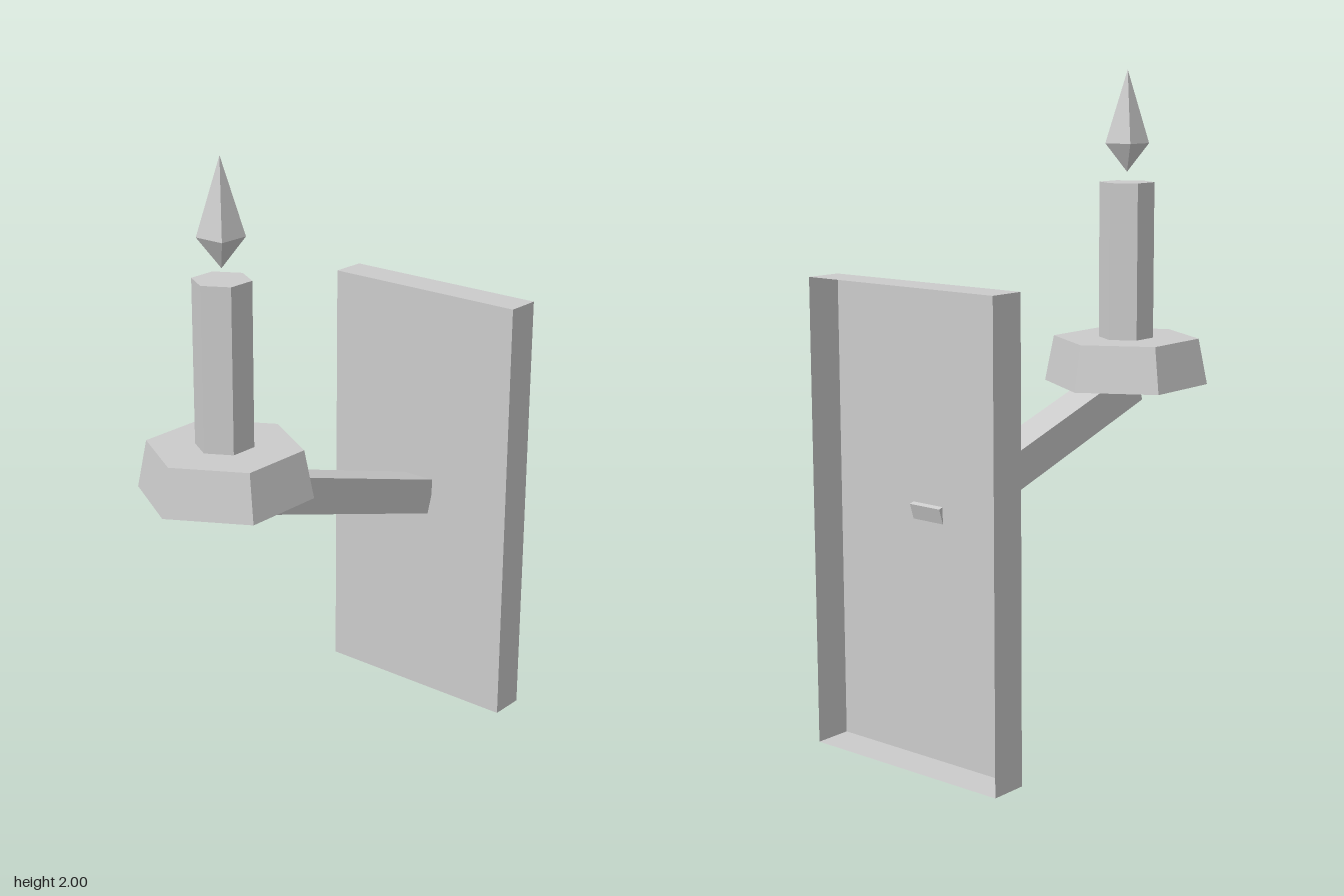
import * as THREE from 'three';

const grey = new THREE.MeshStandardMaterial({ color: 0xcccccc, flatShading: true });
const greyThin = new THREE.MeshStandardMaterial({ color: 0xcccccc, flatShading: true, side: THREE.DoubleSide });

const CANDLE_Z = 0.396;

export function createModel() {
  const model = new THREE.Group();
  model.name = 'wallCandleHolder';

  const add = (name, geometry, x, y, z, material = grey) => {
    const mesh = new THREE.Mesh(geometry, material);
    mesh.name = name;
    mesh.position.set(x, y, z);
    model.add(mesh);
    return mesh;
  };

  // Wall plate: a thin shell, open at the back (the last box side is dropped)
  const plate = new THREE.BoxGeometry(0.704, 1.412, 0.115);
  plate.setIndex(Array.from(plate.index.array).slice(0, 30));
  plate.clearGroups();
  add('wallPlate', plate, 0, 0.706, -0.6025, greyThin);

  // Sloping arm, from just behind the plate's front sheet up into the tray
  const arm = add('arm', new THREE.BoxGeometry(0.115, 0.115, 0.98), 0, 0.857, -0.075);
  arm.rotation.x = -Math.atan2(0.295, 0.935);

  // Six-sided drip tray and candle, each with a corner facing forward
  add('dripTray', new THREE.CylinderGeometry(0.235, 0.264, 0.147, 6), 0, 1.0765, CANDLE_Z);
  add('candle', new THREE.CylinderGeometry(0.088, 0.088, 0.5, 6), 0, 1.398, CANDLE_Z);

  // Four-sided flame, pointed at both ends
  const profile = [[0, 1.68], [0.07, 1.77], [0, 2]].map(([r, y]) => new THREE.Vector2(r, y));
  const flame = add('flame', new THREE.LatheGeometry(profile, 4), 0, 0, CANDLE_Z);
  flame.rotation.y = Math.PI / 4;

  return model;
}
